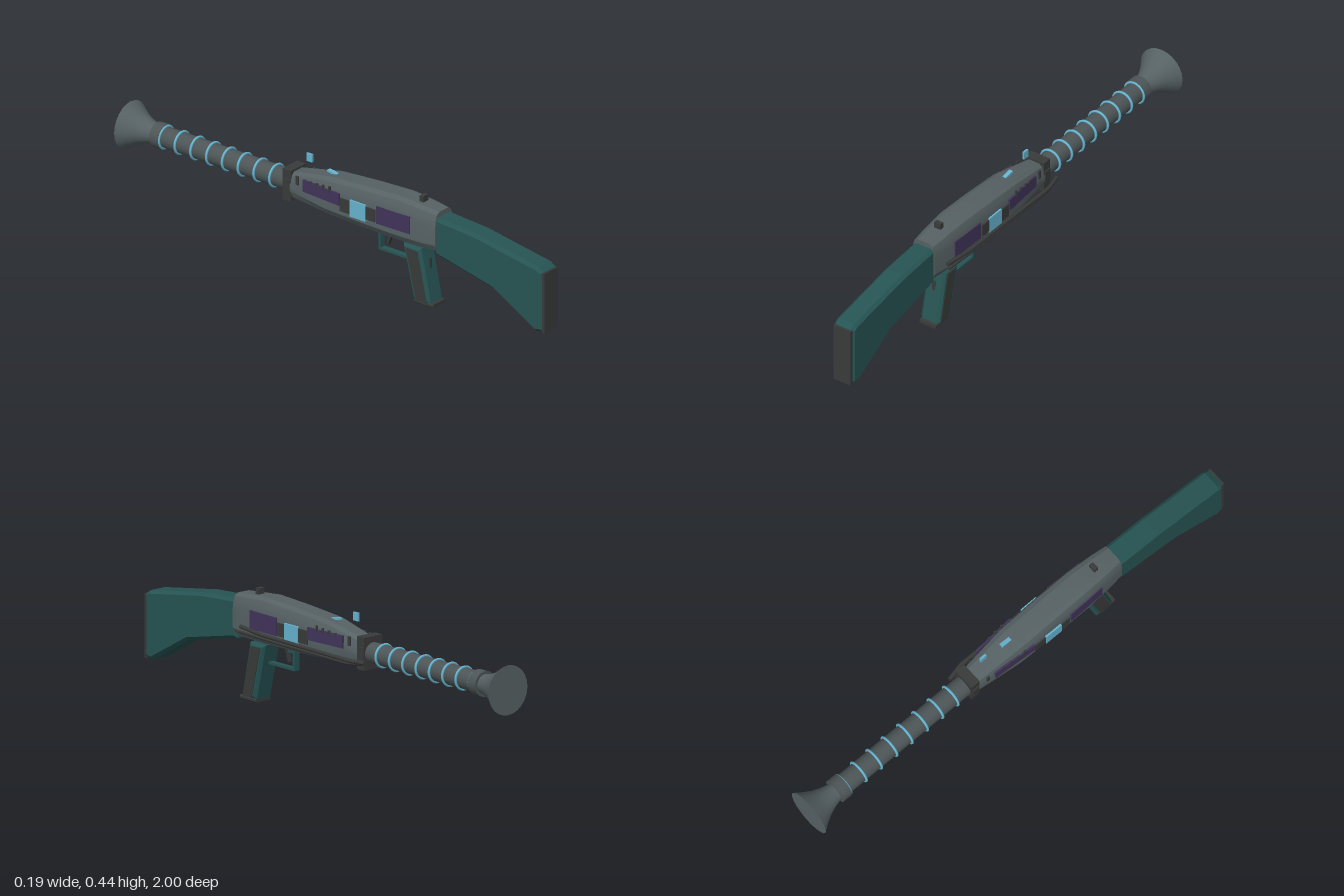
import * as THREE from 'three';
import { toCreasedNormals } from 'three/addons/utils/BufferGeometryUtils.js';

const mat = (name, color) => {
  const m = new THREE.MeshStandardMaterial({ color });
  m.name = name;
  return m;
};

export function createModel() {
  const model = new THREE.Group();
  const steel = mat('steel grey', 0x566163);
  const barrelGrey = mat('barrel grey', 0x4d5556);
  const dark = mat('dark grey', 0x393a3a);
  const teal = mat('teal', 0x265453);
  const cyan = mat('light blue', 0x66b4d0);
  const purple = mat('purple', 0x41345a);

  const add = (name, geometry, material, x = 0, y = 0, z = 0) => {
    const mesh = new THREE.Mesh(geometry, material);
    mesh.name = name;
    mesh.position.set(x, y, z);
    model.add(mesh);
    return mesh;
  };
  const box = (name, material, sx, sy, sz, x, y, z) =>
    add(name, new THREE.BoxGeometry(sx, sy, sz), material, x, y, z);

  // Side outline given as (z, y) points, extruded across x with bevelled edges
  const slab = (name, material, points, width, bevel = 0) => {
    const shape = new THREE.Shape(points.map(([z, y]) => new THREE.Vector2(z, y)));
    const depth = width - 2 * bevel;
    const g = new THREE.ExtrudeGeometry(shape, {
      depth, bevelEnabled: bevel > 0, bevelSize: bevel, bevelThickness: bevel,
      bevelOffset: -bevel, bevelSegments: 1,
    });
    g.translate(0, 0, -depth / 2).rotateY(-Math.PI / 2);
    return add(name, g, material);
  };

  // Closed skin over equal-length counterclockwise rings, ordered towards +z
  const loft = (rings) => {
    const n = rings[0].length, index = [];
    for (let r = 0; r < rings.length - 1; r++) {
      for (let i = 0; i < n; i++) {
        const a = r * n + i, b = r * n + (i + 1) % n;
        index.push(a, b, b + n, a, b + n, a + n);
      }
    }
    const last = (rings.length - 1) * n;
    for (let i = 1; i < n - 1; i++) {
      index.push(0, i + 1, i, last, last + i, last + i + 1);
    }
    const g = new THREE.BufferGeometry();
    g.setAttribute('position', new THREE.Float32BufferAttribute(rings.flat(2), 3));
    g.setIndex(index);
    return toCreasedNormals(g, 0.45);
  };

  // Stock and butt plate
  slab('stock', teal, [[0.48, 0.225], [0.755, 0.166], [0.957, 0.053], [0.993, 0.06],
    [0.993, 0.3], [0.97, 0.315], [0.67, 0.363], [0.48, 0.375]], 0.092, 0.012);
  box('buttPlate', dark, 0.078, 0.244, 0.012, 0, 0.176, 0.994);

  // Receiver stations: z, half width, bottom, top
  const stations = [
    [-0.21, 0.045, 0.255, 0.353], [-0.02, 0.064, 0.245, 0.39], [0.15, 0.066, 0.24, 0.402],
    [0.315, 0.065, 0.238, 0.41], [0.43, 0.058, 0.238, 0.401], [0.49, 0.051, 0.24, 0.395],
  ];
  add('receiver', loft(stations.map(([z, w, b, t]) => {
    const half = [[0.75 * w, b], [w, b + 0.025], [w, t - 0.055], [0.93 * w, t - 0.03],
      [0.8 * w, t - 0.01], [0.5 * w, t]];
    const mirrored = half.map(([x, y]) => [-x, y]).reverse();
    return [...half, ...mirrored].map(([x, y]) => [x, y, z]);
  })), steel);
  const halfWidth = (z) => {
    const i = Math.max(1, stations.findIndex((s) => s[0] >= z));
    const [a, b] = [stations[i - 1], stations[i]];
    return THREE.MathUtils.lerp(a[1], b[1], (z - a[0]) / (b[0] - a[0]));
  };

  // Rounded underside housing
  const arc = (z) => Array.from({ length: 11 }, (_, i) => {
    const a = Math.PI + (i / 10) * Math.PI;
    return [0.048 * Math.cos(a), 0.268 + 0.036 * Math.sin(a), z];
  });
  add('undersideHousing', loft([arc(-0.065), arc(0.33)]), steel);

  // Plates lying against both sides of the receiver
  const sidePlates = (name, material, z0, z1, y0, y1, thick) => {
    const slope = (halfWidth(z1) - halfWidth(z0)) / (z1 - z0);
    for (const s of [1, -1]) {
      const x = (halfWidth(z0) + halfWidth(z1)) / 2 + thick / 2 - 0.002;
      const p = box(name, material, thick, y1 - y0, z1 - z0,
        s * x, (y0 + y1) / 2, (z0 + z1) / 2);
      p.rotation.y = s * Math.atan(slope);
    }
  };
  sidePlates('rearSidePanel', purple, 0.225, 0.38, 0.285, 0.355, 0.006);
  sidePlates('frontSidePanel', purple, -0.135, 0.048, 0.305, 0.353, 0.008);
  sidePlates('rearClamp', dark, 0.175, 0.218, 0.288, 0.338, 0.007);
  sidePlates('sideLight', cyan, 0.1, 0.175, 0.278, 0.345, 0.009);
  sidePlates('frontClamp', dark, 0.05, 0.1, 0.285, 0.338, 0.007);
  for (let i = 0; i < 5; i++) {
    const z = 0.0 - i * 0.032;
    sidePlates('ventTooth', dark, z - 0.004, z + 0.004, 0.345 - i * 0.002, 0.368 - i * 0.004, 0.007);
  }
  sidePlates('ventSlot', dark, -0.172, -0.16, 0.32, 0.355, 0.006);

  // Sights and top light
  box('rearSight', dark, 0.029, 0.03, 0.018, 0, 0.412, 0.395);
  box('topLight', cyan, 0.016, 0.008, 0.045, 0, 0.391, -0.037).rotation.x = 0.14;
  box('frontSight', cyan, 0.008, 0.032, 0.026, 0, 0.419, -0.147);

  // Collar block between receiver and barrel
  box('collarBlock', dark, 0.088, 0.125, 0.04, 0, 0.3, -0.222);
  box('collarBand', dark, 0.098, 0.05, 0.03, 0, 0.3, -0.222);

  // Barrel with rings and flared muzzle
  const tube = (name, material, r, z0, z1) => {
    const g = new THREE.CylinderGeometry(r, r, Math.abs(z1 - z0), 24).rotateX(Math.PI / 2);
    return add(name, g, material, 0, 0.3, (z0 + z1) / 2);
  };
  tube('barrel', barrelGrey, 0.04, -0.2, -0.84);
  tube('muzzleCollar', barrelGrey, 0.049, -0.83, -0.872);
  for (let i = 0; i < 8; i++) {
    add('barrelRing', new THREE.TorusGeometry(0.043, 0.005, 8, 28), cyan, 0, 0.3, -0.305 - i * 0.075);
  }
  const flare = [[0.037, 0.86], [0.038, 0.88], [0.046, 0.91], [0.058, 0.94], [0.075, 0.97], [0.095, 1]]
    .map(([r, y]) => new THREE.Vector2(r, y));
  add('muzzleFlare', new THREE.LatheGeometry(flare, 24).rotateX(-Math.PI / 2), steel, 0, 0.3, 0);
  add('muzzleFace', new THREE.CircleGeometry(0.095, 24).rotateY(Math.PI), steel, 0, 0.3, -1);

  // Rods along the left side, bent inward at the front
  const rod = (name, r, points) => {
    const path = new THREE.CurvePath();
    const v = points.map((p) => new THREE.Vector3(...p));
    for (let i = 1; i < v.length; i++) path.add(new THREE.LineCurve3(v[i - 1], v[i]));
    add(name, new THREE.TubeGeometry(path, 40, r, 8), dark);
    for (const [p, turn] of [[v[0], 0], [v[v.length - 1], Math.PI]]) {
      add(name + 'End', new THREE.CircleGeometry(r, 8).rotateY(turn), dark, p.x, p.y, p.z);
    }
  };
  rod('upperRod', 0.008, [[0.064, 0.283, 0.43], [0.074, 0.277, 0.3], [0.076, 0.272, -0.19], [0.06, 0.272, -0.26]]);
  rod('lowerRod', 0.006, [[0.07, 0.265, 0.43], [0.074, 0.262, 0.2], [0.074, 0.26, -0.18], [0.058, 0.266, -0.25]]);

  // Grip with side inlays and base
  slab('grip', teal, [[0.41, 0.225], [0.325, 0.225], [0.375, 0.012], [0.455, 0.012]], 0.084, 0.01);
  slab('gripInlay', dark, [[0.397, 0.212], [0.345, 0.212], [0.393, 0.016], [0.442, 0.016]], 0.089);
  slab('gripBase', dark, [[0.468, 0], [0.376, 0], [0.376, 0.014], [0.468, 0.014]], 0.076, 0.003);
  box('frontGripStrip', dark, 0.012, 0.11, 0.004, 0, 0.115, 0.369);
  box('rearGripStrip', dark, 0.012, 0.09, 0.004, 0, 0.135, 0.426);

  // Trigger and guard
  slab('triggerGuard', teal, [[0.335, 0.15], [0.188, 0.15], [0.188, 0.225], [0.225, 0.225],
    [0.225, 0.216], [0.198, 0.216], [0.198, 0.159], [0.335, 0.159]], 0.024);
  slab('trigger', dark, [[0.252, 0.24], [0.238, 0.24], [0.224, 0.178], [0.231, 0.178]], 0.014);

  return model;
}
